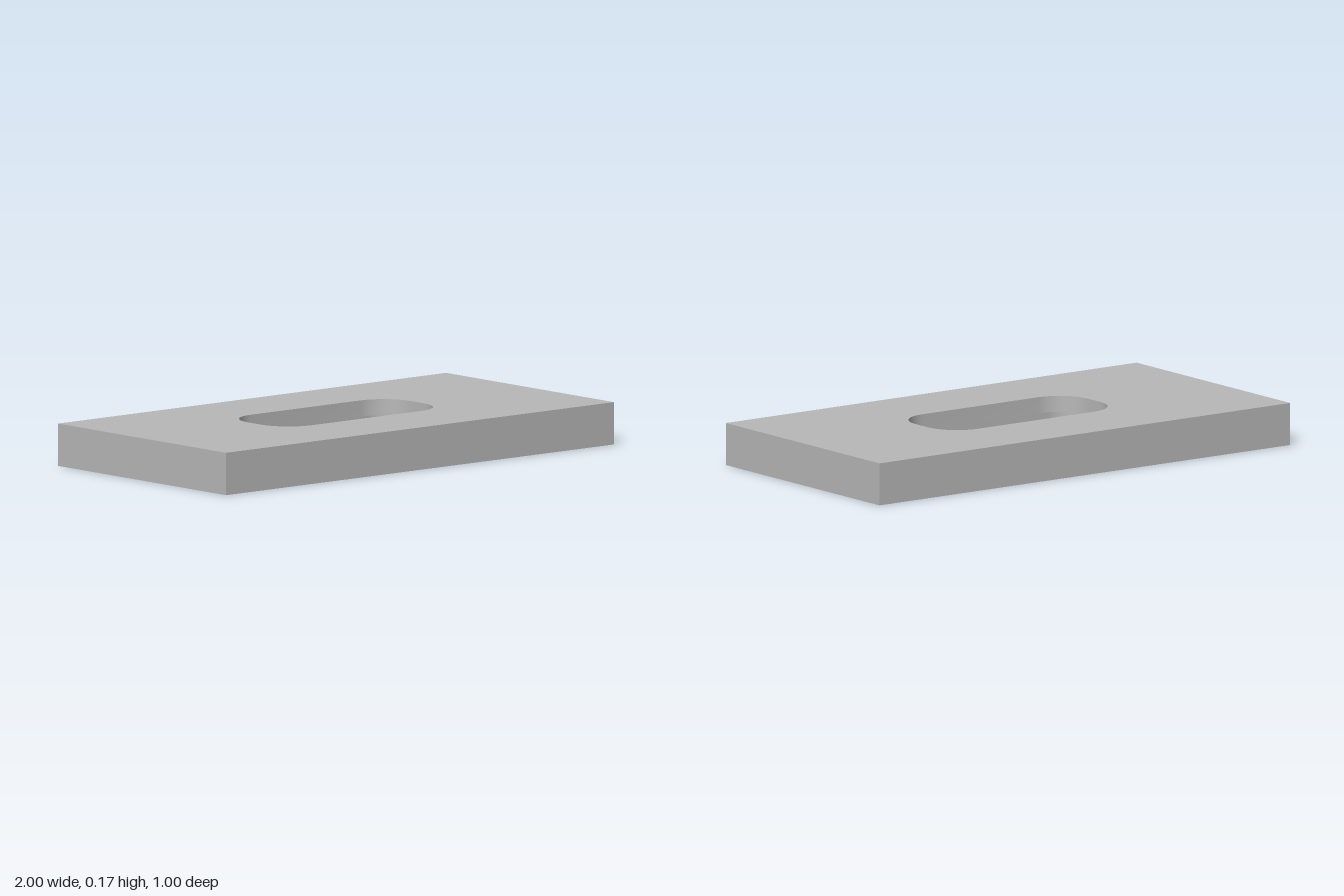
import * as THREE from 'three';
import { toCreasedNormals } from 'three/addons/utils/BufferGeometryUtils.js';

const HEIGHT = 0.167, LEDGE = 0.103, CHAMFER = 0.03;

// Counter-clockwise rounded rectangle from half sizes and corner radius
function roundedLoop(a, b, r, steps = 12) {
  const points = [];
  [[1, 1], [-1, 1], [-1, -1], [1, -1]].forEach(([sx, sy], corner) => {
    for (let i = 0; i <= steps; i++) {
      const t = (corner + i / steps) * Math.PI / 2;
      points.push(new THREE.Vector2(sx * (a - r) + r * Math.cos(t), sy * (b - r) + r * Math.sin(t)));
    }
  });
  return points;
}

// Flat horizontal face with an opening
function face(outer, hole, y, up) {
  const shape = new THREE.Shape(outer);
  shape.holes.push(new THREE.Path(hole));
  return new THREE.ShapeGeometry(shape).rotateX(up ? -Math.PI / 2 : Math.PI / 2).translate(0, y, 0);
}

// Wall joining two loops; listing the upper loop first makes it face inward
function wall(loopA, yA, loopB, yB) {
  const n = loopA.length, position = [], index = [];
  loopA.forEach((p, i) => {
    const q = loopB[i], j = (i + 1) % n;
    position.push(p.x, yA, -p.y, q.x, yB, -q.y);
    index.push(2 * i, 2 * j, 2 * j + 1, 2 * i, 2 * j + 1, 2 * i + 1);
  });
  const geometry = new THREE.BufferGeometry();
  geometry.setAttribute('position', new THREE.Float32BufferAttribute(position, 3));
  geometry.setIndex(index);
  return toCreasedNormals(geometry, 0.5);
}

export function createModel() {
  const group = new THREE.Group();
  group.name = 'slottedPlate';
  const grey = new THREE.MeshStandardMaterial({ color: 0xb8b8b8 });
  grey.name = 'plain grey';
  const add = (name, geometry) => {
    const mesh = new THREE.Mesh(geometry, grey);
    mesh.name = name;
    group.add(mesh);
  };

  const edge = [[1, 0.5], [-1, 0.5], [-1, -0.5], [1, -0.5]].map(p => new THREE.Vector2(...p));
  const slot = roundedLoop(0.42, 0.18, 0.14);
  const recess = roundedLoop(0.5, 0.26, 0.11);
  const mouth = roundedLoop(0.5 + CHAMFER, 0.26 + CHAMFER, 0.11 + CHAMFER);

  // Plate exterior
  add('outerSides', wall(edge, 0, edge, HEIGHT));
  add('topFace', face(edge, slot, HEIGHT, true));
  add('bottomFace', face(edge, mouth, 0, false));

  // Through slot, stepped recess below it, and chamfered mouth
  add('slotWall', wall(slot, HEIGHT, slot, LEDGE));
  add('recessLedge', face(recess, slot, LEDGE, false));
  add('recessWall', wall(recess, LEDGE, recess, CHAMFER));
  add('recessChamfer', wall(recess, CHAMFER, mouth, 0));
  return group;
}
